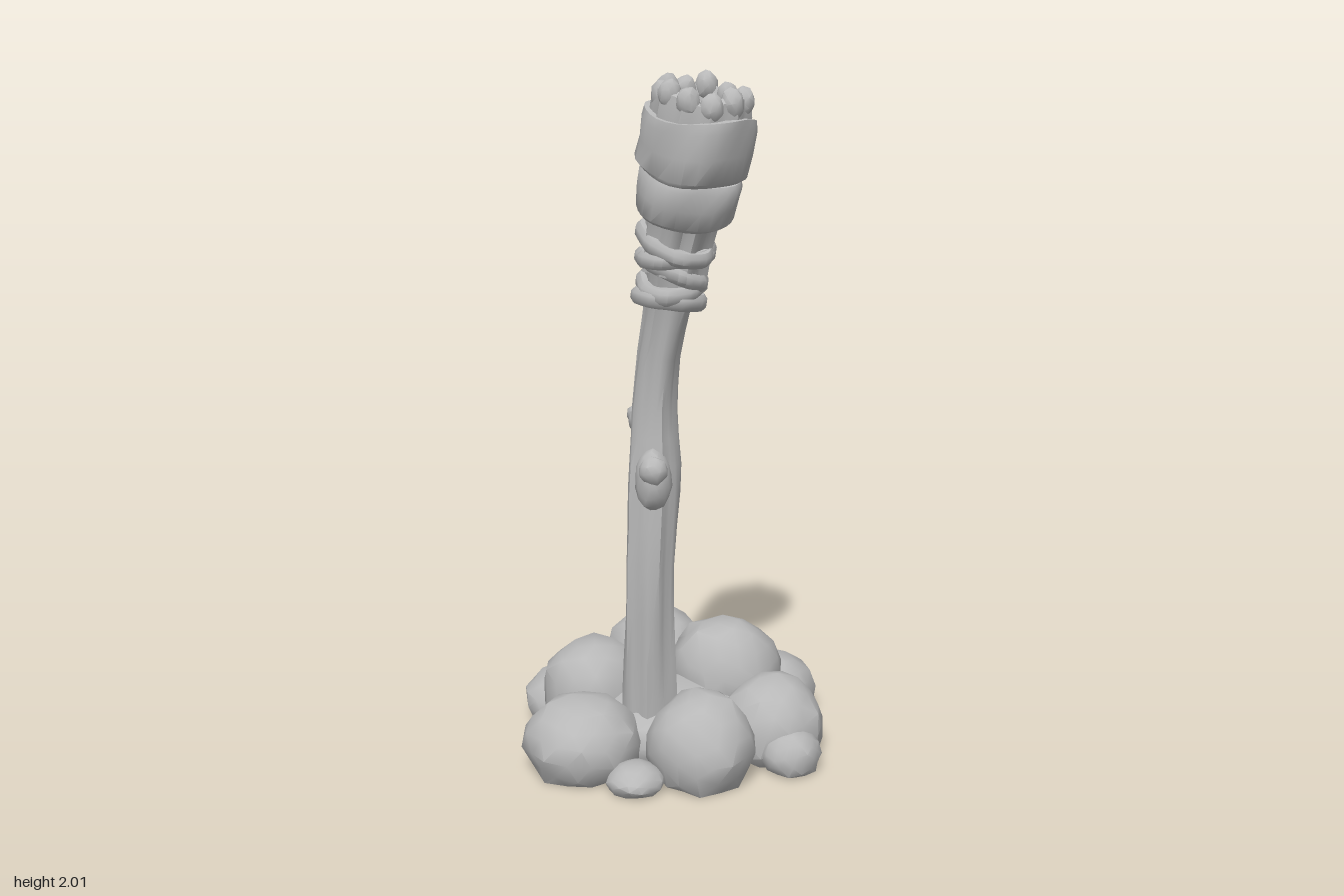
import * as THREE from 'three';
import { mergeVertices, toCreasedNormals } from 'three/addons/utils/BufferGeometryUtils.js';

const stoneGrey = new THREE.MeshStandardMaterial({ color: 0xb8b8b8 });
stoneGrey.name = 'plain grey';

// Seeded random numbers
let seed = 7;
function random() {
  seed = (seed * 16807) % 2147483647;
  return seed / 2147483647;
}

// Centre line of the leaning stick: y, x, z
const CENTRES = [
  [0, -0.045, 0.17], [0.2, -0.045, 0.175], [0.6, -0.042, 0.197], [0.9, -0.03, 0.19],
  [1.05, -0.032, 0.183], [1.2, -0.02, 0.19], [1.38, 0.015, 0.215], [1.55, 0.04, 0.238],
  [1.68, 0.07, 0.277], [1.8, 0.098, 0.303], [1.95, 0.118, 0.32], [2.05, 0.128, 0.335],
];
function centre(y) {
  let i = 0;
  while (i < CENTRES.length - 2 && CENTRES[i + 1][0] < y) i++;
  const a = CENTRES[i], b = CENTRES[i + 1];
  const t = (y - a[0]) / (b[0] - a[0]);
  return [a[1] + (b[1] - a[1]) * t, a[2] + (b[2] - a[2]) * t];
}

// Skin through rings [y, radius] set square to the centre line
function loft(rows, sides, wobble = () => 1, lift = () => 0) {
  const pos = [], index = [];
  rows.forEach(([y, r], j) => {
    const [cx, cz] = centre(y);
    const lo = centre(y - 0.08), hi = centre(y + 0.08);
    const sx = (hi[0] - lo[0]) / 0.16, sz = (hi[1] - lo[1]) / 0.16;
    for (let i = 0; i < sides; i++) {
      const a = (i / sides) * Math.PI * 2;
      const k = r * wobble(a, y, j);
      const ox = Math.cos(a) * k, oz = Math.sin(a) * k;
      pos.push(cx + ox, y - sx * ox - sz * oz + lift(a, j), cz + oz);
      if (j === 0) continue;
      const n = (i + 1) % sides, p = (j - 1) * sides, q = j * sides;
      index.push(p + i, q + i, p + n, p + n, q + i, q + n);
    }
  });
  const g = new THREE.BufferGeometry();
  g.setAttribute('position', new THREE.Float32BufferAttribute(pos, 3));
  g.setIndex(index);
  return toCreasedNormals(g, 0.8);
}

// Rough ball, cut flat at the ground
function lump(x, y, z, rx, ry, rz, rough = 0.08, detail = 2) {
  let g = new THREE.IcosahedronGeometry(1, detail);
  g.deleteAttribute('uv');
  g.deleteAttribute('normal');
  g = mergeVertices(g, 1e-3);
  g.rotateX(random() * 6);
  g.rotateY(random() * 6);
  const p = g.attributes.position;
  for (let i = 0; i < p.count; i++) {
    const k = 1.02 + (random() - 0.5) * 2 * rough;
    p.setXYZ(i, x + p.getX(i) * rx * k, Math.max(0, y + p.getY(i) * ry * k), z + p.getZ(i) * rz * k);
  }
  return toCreasedNormals(g, 0.75);
}

export function createModel() {
  const model = new THREE.Group();
  const add = (name, geometry, parent = model) => {
    const mesh = new THREE.Mesh(geometry, stoneGrey);
    mesh.name = name;
    parent.add(mesh);
    return mesh;
  };
  const group = (name) => {
    const g = new THREE.Group();
    g.name = name;
    model.add(g);
    return g;
  };

  // Pile of boulders: x, z, radius, top height
  const pile = group('rockPile');
  const rocks = [
    [0.12, 0.33, 0.155, 0.26], [-0.23, 0.3, 0.168, 0.22], [-0.235, -0.01, 0.163, 0.29],
    [-0.065, -0.23, 0.16, 0.32], [0.17, -0.07, 0.167, 0.35], [0.09, -0.355, 0.152, 0.2],
    [-0.2, -0.325, 0.136, 0.16], [-0.335, -0.1, 0.135, 0.16], [0.3, -0.18, 0.148, 0.2],
    [0.32, 0.14, 0.155, 0.24], [0.375, 0.25, 0.088, 0.13], [-0.065, 0.425, 0.08, 0.08],
    [-0.32, 0.12, 0.078, 0.09], [0.375, -0.05, 0.075, 0.1],
  ];
  for (const [x, z, r, top] of rocks) {
    const cy = top > 0.27 ? top - 0.165 : top * 0.38;
    add('rock', lump(x, cy, z, r, top - cy, r, 0.06), pile);
  }
  add('rockCore', lump(0, 0.05, 0.02, 0.3, 0.14, 0.3, 0.05), pile);

  // Grained wooden stick
  const grain = (a, y) =>
    1 + 0.07 * Math.sin(a * 5 + y * 2.2) + 0.05 * Math.sin(a * 9 - y * 3) + 0.03 * Math.sin(a * 2 + y * 9);
  const stickRows = [
    [0.02, 0.078], [0.2, 0.075], [0.32, 0.073], [0.45, 0.071], [0.6, 0.071], [0.72, 0.071], [0.82, 0.073],
    [0.9, 0.071], [0.98, 0.065], [1.06, 0.062], [1.14, 0.06], [1.22, 0.059], [1.3, 0.06], [1.38, 0.063], [1.48, 0.078],
  ];
  add('stick', loft(stickRows, 28, grain));
  add('frontKnot', lump(-0.025, 0.865, 0.25, 0.052, 0.09, 0.055, 0.05).rotateX(0));
  add('frontKnotTip', lump(-0.022, 0.9, 0.285, 0.04, 0.042, 0.036, 0.06, 1));
  add('backKnot', lump(-0.07, 1.015, 0.118, 0.04, 0.045, 0.045, 0.05));
  add('backKnotTip', lump(-0.082, 1.025, 0.098, 0.034, 0.034, 0.034, 0.08, 1));

  // Splintered neck showing between the wrappings
  add('neck', loft([[1.46, 0.088], [1.55, 0.09], [1.62, 0.092], [1.7, 0.105]], 40,
    (a) => 1 + 0.09 * Math.sin(a * 8) + 0.04 * Math.sin(a * 13)));

  // Cord wound round the stick, one slanting turn at a time
  const cord = group('cordWrap');
  const turns = [[1.385, 0.104, 0.012, 0.4], [1.425, 0.1, 0.022, 2.6], [1.465, 0.101, 0.026, 5.1],
    [1.505, 0.107, 0.02, 1.3], [1.54, 0.11, 0.018, 3.9]];
  for (const [y, r, slant, phase] of turns) {
    add('cordTurn', loft([[y - 0.02, 0.055], [y - 0.023, r - 0.01], [y - 0.01, r], [y + 0.01, r], [y + 0.023, r - 0.01], [y + 0.022, 0.06]], 28,
      (a, h, j) => (j === 0 || j === 5 ? 1 : 1 + 0.035 * Math.sin(a * 3 + phase) + 0.025 * Math.sin(a * 7 + phase)),
      (a) => slant * Math.sin(a + phase)), cord);
  }

  // Cloth bands
  const ragged = (phase) => (a, y, j) => 1 + 0.03 * Math.sin(a * 3 + phase) + 0.02 * Math.sin(a * 5 + j + phase);
  add('lowerBand', loft([[1.64, 0.085], [1.625, 0.122], [1.635, 0.134], [1.68, 0.138], [1.725, 0.14], [1.74, 0.13], [1.74, 0.1]], 26,
    ragged(1), (a) => 0.014 * Math.sin(a + 2.6)));
  add('upperBand', loft([[1.745, 0.11], [1.735, 0.142], [1.745, 0.152], [1.8, 0.152], [1.86, 0.155], [1.885, 0.15], [1.885, 0.12]], 26,
    ragged(4), (a) => 0.014 * Math.sin(a * 2 + 0.5)));

  // Hollow cup at the top
  add('cup', loft([[1.68, 0.115], [1.8, 0.13], [1.9, 0.132], [1.935, 0.126], [1.945, 0.105], [1.92, 0.088], [1.87, 0.08], [1.83, 0.06], [1.82, 0.001]], 33,
    (a, y, j) => (j > 1 && j < 6 ? 1 + 0.05 * Math.sin(a * 11) : 1),
    (a, j) => (j > 2 && j < 6 ? 0.012 * Math.sin(a * 3) : 0)));

  // Knobbly rim
  const rim = group('rim');
  const [rx, rz] = centre(1.93);
  for (let i = 0; i < 11; i++) {
    const a = ((i + 0.3) / 11) * Math.PI * 2;
    const ox = Math.cos(a) * 0.108, oz = Math.sin(a) * 0.108;
    const tall = i === 8 ? 0.016 : (random() - 0.5) * 0.018;
    add('rimKnob', lump(rx + ox, 1.928 - 0.14 * ox - 0.16 * oz + tall, rz + oz, 0.032, 0.042, 0.032, 0.08, 1), rim);
  }
  return model;
}
